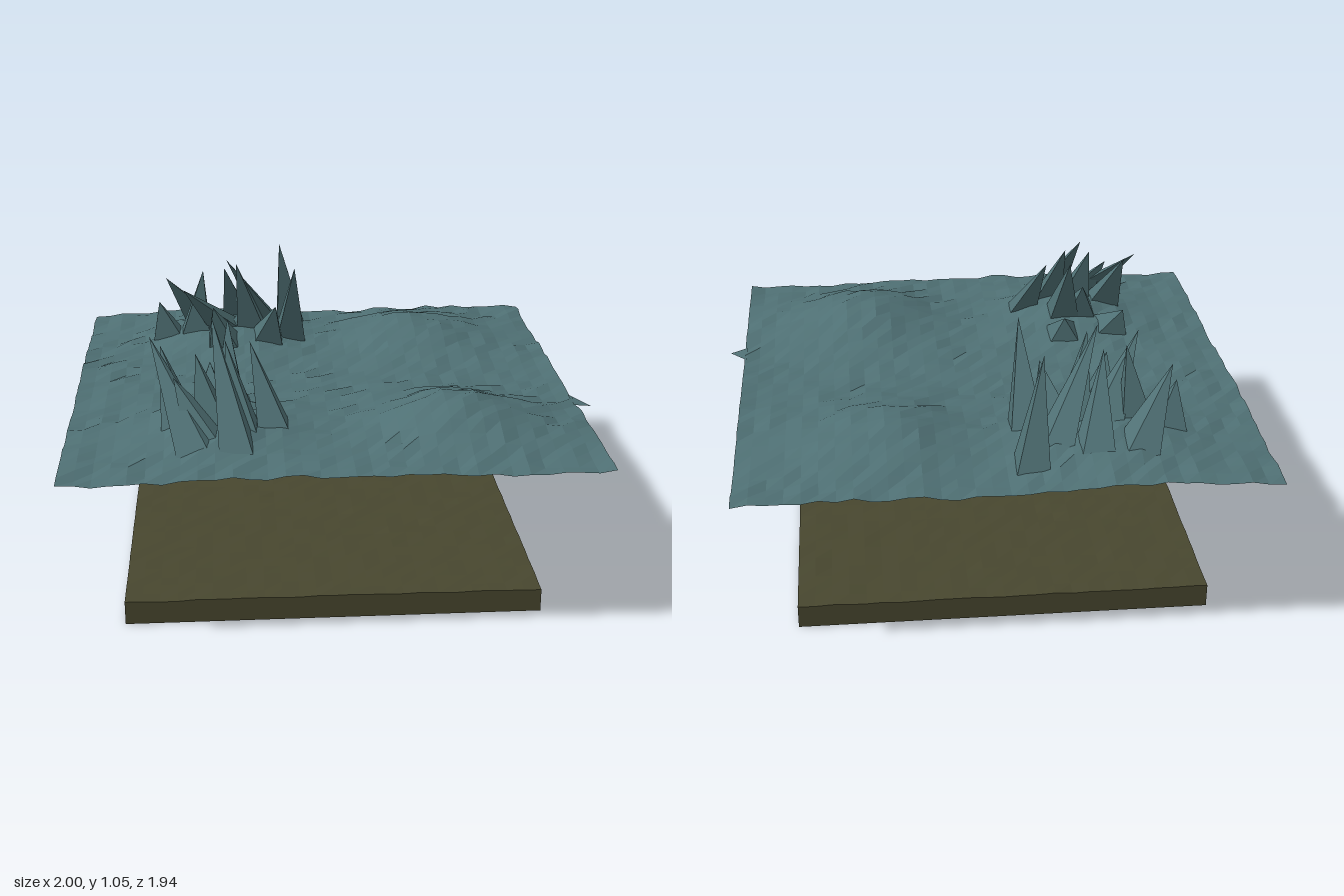
import * as THREE from 'three';

// Repeatable value in 0..1 for a grid position
function hash(x, z) {
  const s = Math.sin(Math.round(x * 100) * 12.9898 + Math.round(z * 100) * 78.233) * 43758.5453;
  return s - Math.floor(s);
}

// Mounds: x, z, height, radius
const MOUNDS = [
  [0.46, 0.52, 0.125, 0.2],
  [0.38, -0.56, 0.09, 0.2],
  [-0.45, 0.5, 0.11, 0.19],
  [-0.38, -0.56, 0.1, 0.2],
];

function groundHeight(x, z) {
  let y = 0.645 + 0.006 * Math.sin(5 * x + 2 * z) + 0.005 * Math.sin(7 * z - 3 * x);
  for (const [mx, mz, h, r] of MOUNDS) {
    y += h * Math.exp(-((x - mx) ** 2 + (z - mz) ** 2) / (2 * r * r));
  }
  return y;
}

// Spikes: base x, base z, tip x, tip y, tip z
const FRONT_SPIKES = [
  [-0.53, 0.73, -0.69, 0.98, 0.38],
  [-0.38, 0.73, -0.46, 1.05, 0.37],
  [-0.24, 0.55, -0.32, 0.95, 0.37],
  [-0.36, 0.61, -0.41, 0.98, 0.45],
  [-0.4, 0.42, -0.4, 1.0, 0.24],
  [-0.59, 0.54, -0.65, 0.95, 0.4],
  [-0.47, 0.58, -0.52, 0.95, 0.5],
  [-0.5, 0.66, -0.6, 0.88, 0.56],
  [-0.59, 0.32, -0.63, 0.78, 0.26],
  [-0.47, 0.42, -0.47, 0.86, 0.33],
  [-0.38, 0.27, -0.38, 0.77, 0.22],
];
const BACK_SPIKES = [
  [-0.52, -0.74, -0.66, 0.93, -0.57],
  [-0.36, -0.74, -0.41, 0.98, -0.53],
  [-0.12, -0.79, -0.17, 1.04, -0.69],
  [-0.22, -0.68, -0.4, 1.04, -0.44],
  [-0.13, -0.52, -0.12, 1.03, -0.33],
  [-0.42, -0.56, -0.58, 0.95, -0.31],
  [-0.3, -0.56, -0.36, 1.02, -0.45],
  [-0.54, -0.54, -0.5, 0.98, -0.5],
  [-0.66, -0.56, -0.69, 0.84, -0.52],
  [-0.42, -0.4, -0.46, 0.87, -0.32],
  [-0.23, -0.45, -0.2, 0.86, -0.35],
];

// Four-sided spike leaning from its base to its tip
function spikeGeometry([bx, bz, tx, ty, tz]) {
  const geo = new THREE.ConeGeometry(0.085, 1, 4, 1, true).rotateY(Math.PI / 4);
  const pos = geo.attributes.position;
  for (let i = 0; i < pos.count; i++) {
    if (pos.getY(i) > 0) {
      pos.setXYZ(i, tx, ty, tz);
    } else {
      const x = bx + pos.getX(i), z = bz + pos.getZ(i);
      pos.setXYZ(i, x, groundHeight(x, z) - 0.008, z);
    }
  }
  geo.computeVertexNormals();
  return geo;
}

export function createModel() {
  const group = new THREE.Group();
  const stone = new THREE.MeshStandardMaterial({ color: 0x4f7074, flatShading: true, side: THREE.DoubleSide });
  const earth = new THREE.MeshStandardMaterial({ color: 0x48472f, flatShading: true });

  const add = (name, geo, mat, parent = group) => {
    const mesh = new THREE.Mesh(geo, mat);
    mesh.name = name;
    parent.add(mesh);
    return mesh;
  };

  // Rough upper sheet with low mounds
  const sheet = new THREE.PlaneGeometry(1.94, 1.94, 32, 32).rotateX(-Math.PI / 2).translate(-0.03, 0, 0);
  const sp = sheet.attributes.position;
  for (let i = 0; i < sp.count; i++) {
    const x = sp.getX(i), z = sp.getZ(i);
    sp.setY(i, Math.max(0.632, groundHeight(x, z) + (hash(x, z) - 0.5) * 0.018));
  }
  sheet.computeVertexNormals();
  add('terrainSheet', sheet, stone);

  // Small pointed flap on the sheet's edge
  const flap = new THREE.BufferGeometry().setFromPoints([
    new THREE.Vector3(0.93, 0.645, 0.2),
    new THREE.Vector3(0.93, 0.645, 0.32),
    new THREE.Vector3(1.0, 0.632, 0.3),
  ]);
  flap.computeVertexNormals();
  add('edgeFlap', flap, stone);

  // Two leaning spike clusters
  for (const [name, list] of [['frontSpikes', FRONT_SPIKES], ['backSpikes', BACK_SPIKES]]) {
    const cluster = new THREE.Group();
    cluster.name = name;
    for (const s of list) add('spike', spikeGeometry(s), stone, cluster);
    group.add(cluster);
  }

  // Lower slab with a slightly uneven top
  const slab = new THREE.BoxGeometry(1.54, 0.088, 1.54, 24, 1, 24).translate(-0.03, 0.044, 0);
  const bp = slab.attributes.position;
  for (let i = 0; i < bp.count; i++) {
    if (bp.getY(i) > 0.05) bp.setY(i, 0.086 + hash(bp.getX(i), bp.getZ(i)) * 0.006);
  }
  slab.computeVertexNormals();
  add('baseSlab', slab, earth);

  return group;
}
